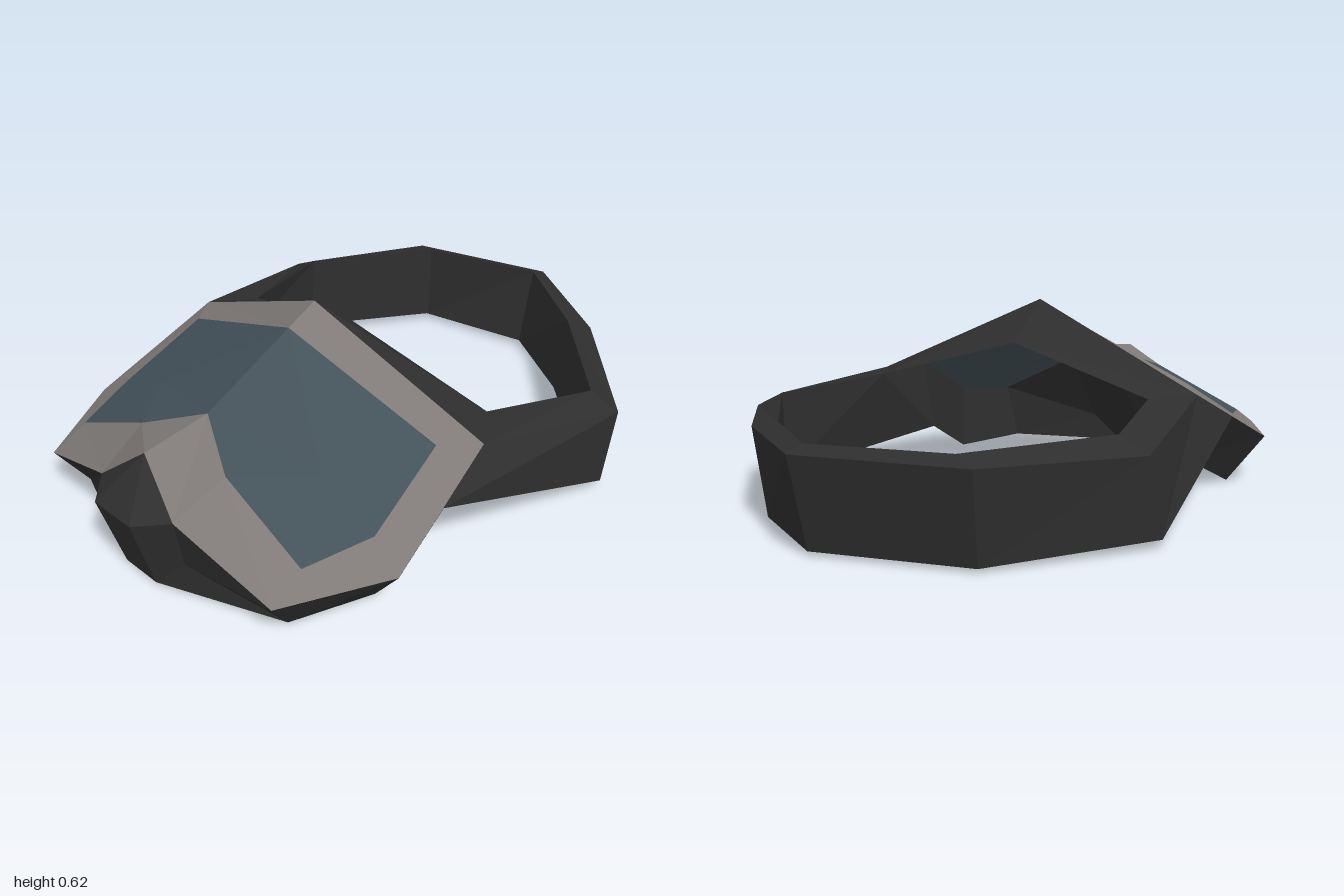
import * as THREE from 'three';

const mat = (color) => new THREE.MeshStandardMaterial({
  color, flatShading: true, roughness: 0.8, side: THREE.DoubleSide,
});
const CENTRE = -0.01; // x of the mask's middle line

// Corner points of the mask's left half (x measured from the middle line)
const P = {
  // outer edge of the front frame, from the top round to the nose
  O0: [0, 0.626, 0.195], O1: [0.62, 0.356, 0.122], M: [0.65, 0.26, 0.335],
  O2: [0.68, 0.163, 0.555], O3: [0.51, 0.152, 0.872], O4: [0.165, 0.276, 0.915], O5: [0, 0.41, 0.87],
  // lens outline and its inner crease point
  L0: [0, 0.577, 0.307], L1: [0.535, 0.37, 0.237], L2: [0.57, 0.234, 0.535],
  L3: [0.5, 0.212, 0.75], L4: [0.19, 0.355, 0.74], L5: [0, 0.428, 0.638], LC: [0.36, 0.33, 0.53],
  // rim that rests on the face
  B0: [0, 0.49, 0.033], B1: [0.52, 0.353, -0.02], BT: [0.51, 0.123, 0.26],
  B2: [0.56, 0.002, 0.52], B3: [0.47, 0.015, 0.78],
  // nose guard
  N4: [0.165, 0.11, 0.89], NT: [0.08, 0.267, 1.0], NB: [0.07, 0.01, 0.93],
  NT0: [0, 0.267, 1.0], NB0: [0, 0.01, 0.93],
};
const place = (name, side) => [P[name][0] * side + CENTRE, P[name][1], P[name][2]];

// Flat-faced mesh from polygons, each a list of corner positions
function facets(name, polygons, material) {
  const pos = [];
  for (const p of polygons) {
    for (let i = 1; i < p.length - 1; i++) pos.push(...p[0], ...p[i], ...p[i + 1]);
  }
  const geo = new THREE.BufferGeometry();
  geo.setAttribute('position', new THREE.Float32BufferAttribute(pos, 3));
  geo.computeVertexNormals();
  const mesh = new THREE.Mesh(geo, material);
  mesh.name = name;
  return mesh;
}

// Builds both halves of a mask part; right half gets reversed corner order
function mirrored(name, polygons, material) {
  const all = [];
  for (const text of polygons) {
    const names = text.split(' ');
    all.push(names.map((n) => place(n, 1)));
    all.push(names.map((n) => place(n, -1)).reverse());
  }
  return facets(name, all, material);
}

export function createModel() {
  const group = new THREE.Group();
  group.name = 'goggles';
  const dark = mat(0x2e2e2e);
  const grey = mat(0x7f7a77);
  const blue = mat(0x435159);

  // Front frame: band between the outer edge and the lens
  group.add(mirrored('frontFrame', [
    'O0 L0 L1 O1', 'O1 L1 L2 O2', 'O2 L2 L3 O3', 'O3 L3 L4 O4', 'O4 L4 L5 O5',
  ], grey));

  // Lens: a fan around its crease point
  const ring = ['L0', 'L5', 'L4', 'L3', 'L2', 'L1'];
  group.add(mirrored('lens', ring.map((n, i) => `LC ${n} ${ring[(i + 1) % ring.length]}`), blue));

  // Outside walls from frame back to the face rim
  group.add(mirrored('outerShell', [
    'O0 O1 B1 B0', 'M O2 B2 BT', 'O2 O3 B3 B2', 'O3 O4 N4 B3', 'N4 NB B3',
  ], dark));

  // Inside walls from lens back to the face rim
  group.add(mirrored('innerShell', [
    'L0 B0 B1 L1', 'L1 B1 BT', 'L1 BT B2 L2', 'L2 B2 B3 L3',
    'L3 B3 N4 L4', 'L4 N4 NB', 'L4 NB L5', 'L5 NB NB0',
  ], dark));

  // Nose guard
  group.add(mirrored('noseGuard', [
    'O5 NT0 NT', 'O5 NT O4', 'O4 NT NB N4', 'NT NT0 NB0 NB',
  ], dark));

  // Head strap: four-cornered sections (outer top, inner top, inner bottom, outer bottom)
  const anchor = (side) => ['O1', 'B1', 'BT', 'M'].map((n) => place(n, side));
  const sections = [
    anchor(1),
    [[0.745, 0.272, -0.4], [0.65, 0.32, -0.38], [0.65, 0.045, -0.365], [0.745, 0.03, -0.345]],
    [[0.4, 0.29, -0.76], [0.325, 0.305, -0.725], [0.31, 0.025, -0.705], [0.37, 0.012, -0.735]],
    [[0.025, 0.29, -1], [0.02, 0.31, -0.94], [0.015, 0.025, -0.89], [0.02, 0.014, -0.935]],
    [[-0.47, 0.285, -0.86], [-0.39, 0.308, -0.82], [-0.385, 0.025, -0.81], [-0.45, 0.014, -0.81]],
    [[-0.735, 0.272, -0.42], [-0.64, 0.32, -0.415], [-0.64, 0.045, -0.39], [-0.75, 0.03, -0.36]],
    anchor(-1),
  ];
  const strap = [];
  for (let i = 0; i < sections.length - 1; i++) {
    const a = sections[i], b = sections[i + 1];
    for (let k = 0; k < 4; k++) {
      const n = (k + 1) % 4;
      // start the fan so the twisted ends crease from the mask to the strap's lower corner
      strap.push(i === 0 ? [b[k], b[n], a[n], a[k]].reverse() : [a[k], a[n], b[n], b[k]]);
    }
  }
  group.add(facets('headStrap', strap, dark));

  return group;
}
